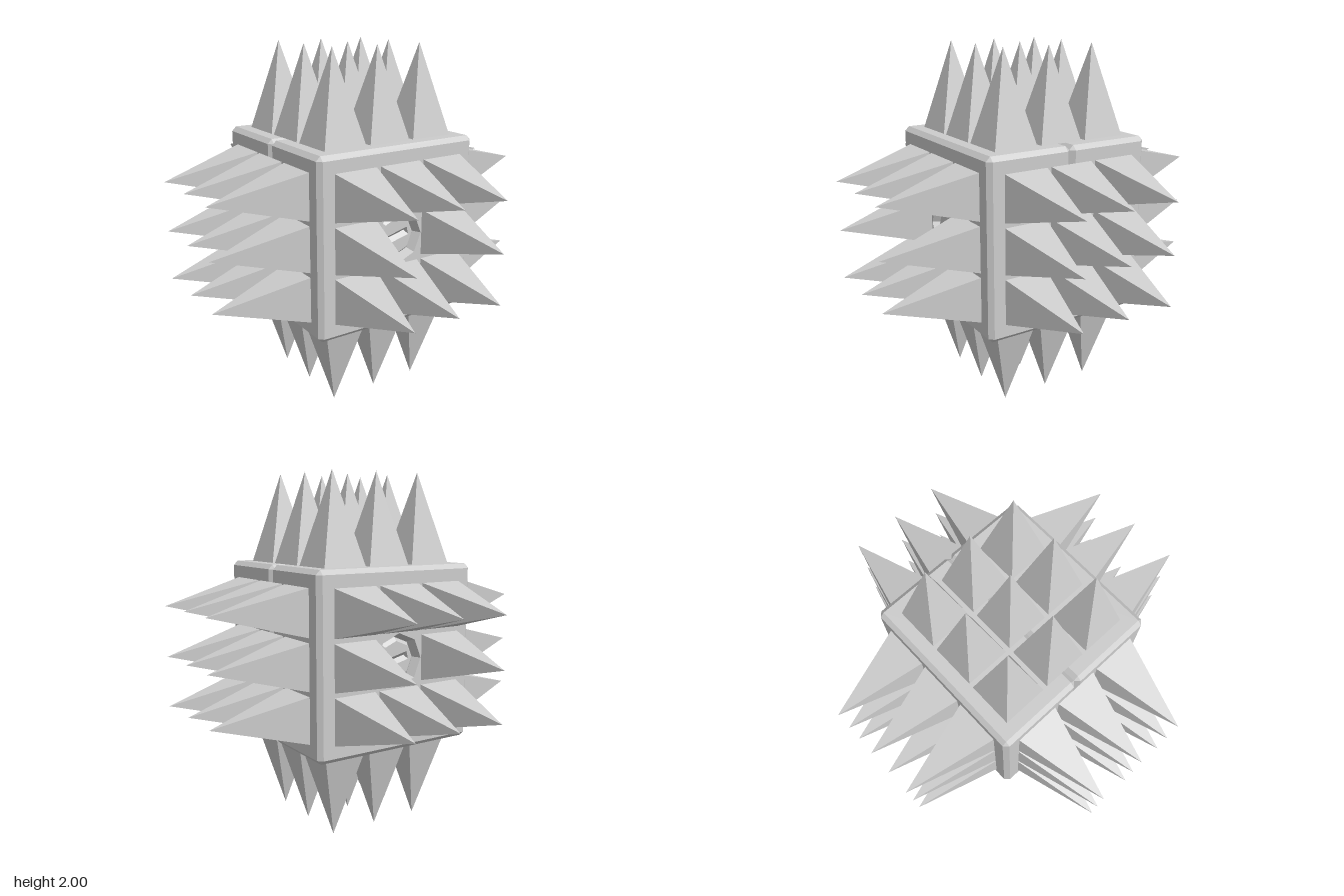
import * as THREE from 'three';

const HALF = 0.5;      // half the cube's width
const CHAMFER = 0.025;
const PITCH = 0.28;    // distance between spikes
const material = new THREE.MeshStandardMaterial({ color: 0xcccccc, flatShading: true });

// Outline helpers: counter-clockwise corners in the XY plane
const octagon = (r) => Array.from({ length: 8 }, (_, i) =>
  new THREE.Vector2(Math.cos(i * Math.PI / 4) * r, Math.sin(i * Math.PI / 4) * r));

const chamferedSquare = (h, c) => [
  [h, -h + c], [h, h - c], [h - c, h], [-h + c, h],
  [-h, h - c], [-h, -h + c], [-h + c, -h], [h - c, -h],
].map(([x, y]) => new THREE.Vector2(x, y));

const slotOutline = (length, width) => [[1, -1], [1, 1], [-1, 1], [-1, -1]].map(([x, y]) =>
  new THREE.Vector2(x * length / 2, y * width / 2).rotateAround(new THREE.Vector2(), 0.24));

// Joins successive [outline, z] sections with flat quads
function loft(sections) {
  const pos = [];
  for (let s = 0; s < sections.length - 1; s++) {
    const [lo, z0] = sections[s];
    const [hi, z1] = sections[s + 1];
    lo.forEach((a, i) => {
      const j = (i + 1) % lo.length;
      const b = lo[j], c = hi[j], d = hi[i];
      pos.push(a.x, a.y, z0, b.x, b.y, z0, c.x, c.y, z1);
      pos.push(a.x, a.y, z0, c.x, c.y, z1, d.x, d.y, z1);
    });
  }
  const geo = new THREE.BufferGeometry();
  geo.setAttribute('position', new THREE.Float32BufferAttribute(pos, 3));
  geo.computeVertexNormals();
  return geo;
}

// Flat plate with a hole, at height z
function plate(outline, hole, z) {
  const shape = new THREE.Shape(outline);
  shape.holes.push(new THREE.Path(hole));
  return new THREE.ShapeGeometry(shape).translate(0, 0, z);
}

function add(parent, name, geometry) {
  const mesh = new THREE.Mesh(geometry, material);
  mesh.name = name;
  parent.add(mesh);
  return mesh;
}

// One half of the split cube, with its recessed slotted screw
function createHalf(name) {
  const half = new THREE.Group();
  half.name = name;
  const inner = chamferedSquare(HALF - CHAMFER, 0);
  const outer = chamferedSquare(HALF, CHAMFER);

  add(half, 'shell', loft([
    [inner, 0], [outer, CHAMFER], [outer, HALF - CHAMFER], [inner, HALF],
  ]));
  add(half, 'facePlate', plate(inner, octagon(0.148), HALF));
  add(half, 'recess', loft([[octagon(0.148), HALF], [octagon(0.122), 0.44], [octagon(0.1), 0.44]]));

  const slot = slotOutline(0.155, 0.045);
  add(half, 'screwRim', loft([[octagon(0.122), 0.44], [octagon(0.122), 0.455], [octagon(0.102), 0.475]]));
  add(half, 'screwHead', plate(octagon(0.102), slot, 0.475));
  add(half, 'screwSlot', loft([[slot, 0.475], [slotOutline(0.14, 0), 0.45]]));
  return half;
}

// A 3 x 3 grid of spikes standing on the +z face
function createSpikes(name, skipCentre) {
  const spikes = new THREE.Group();
  spikes.name = name;
  const spike = new THREE.ConeGeometry(0.127 * Math.SQRT2, 0.5, 4)
    .rotateY(Math.PI / 4)
    .rotateX(Math.PI / 2)
    .translate(0, 0, HALF + 0.25);
  for (let i = -1; i <= 1; i++) {
    for (let j = -1; j <= 1; j++) {
      if (skipCentre && i === 0 && j === 0) continue;
      add(spikes, 'spike', spike).position.set(i * PITCH, j * PITCH, 0);
    }
  }
  return spikes;
}

export function createModel() {
  const model = new THREE.Group();
  model.name = 'spikedCube';

  const cube = new THREE.Group();
  cube.name = 'cube';
  cube.position.y = 1;
  model.add(cube);

  // Two mirrored halves meet in a V groove at z = 0
  cube.add(createHalf('frontHalf'));
  const back = createHalf('backHalf');
  back.rotation.y = Math.PI;
  cube.add(back);

  // Spikes on all six faces; front and back leave room for the screw
  const faces = [
    ['frontSpikes', 0, 0, true],
    ['backSpikes', 0, Math.PI, true],
    ['leftSpikes', 0, Math.PI / 2, false],
    ['rightSpikes', 0, -Math.PI / 2, false],
    ['topSpikes', -Math.PI / 2, 0, false],
    ['bottomSpikes', Math.PI / 2, 0, false],
  ];
  for (const [name, rx, ry, skipCentre] of faces) {
    const spikes = createSpikes(name, skipCentre);
    spikes.rotation.set(rx, ry, 0);
    cube.add(spikes);
  }
  return model;
}
